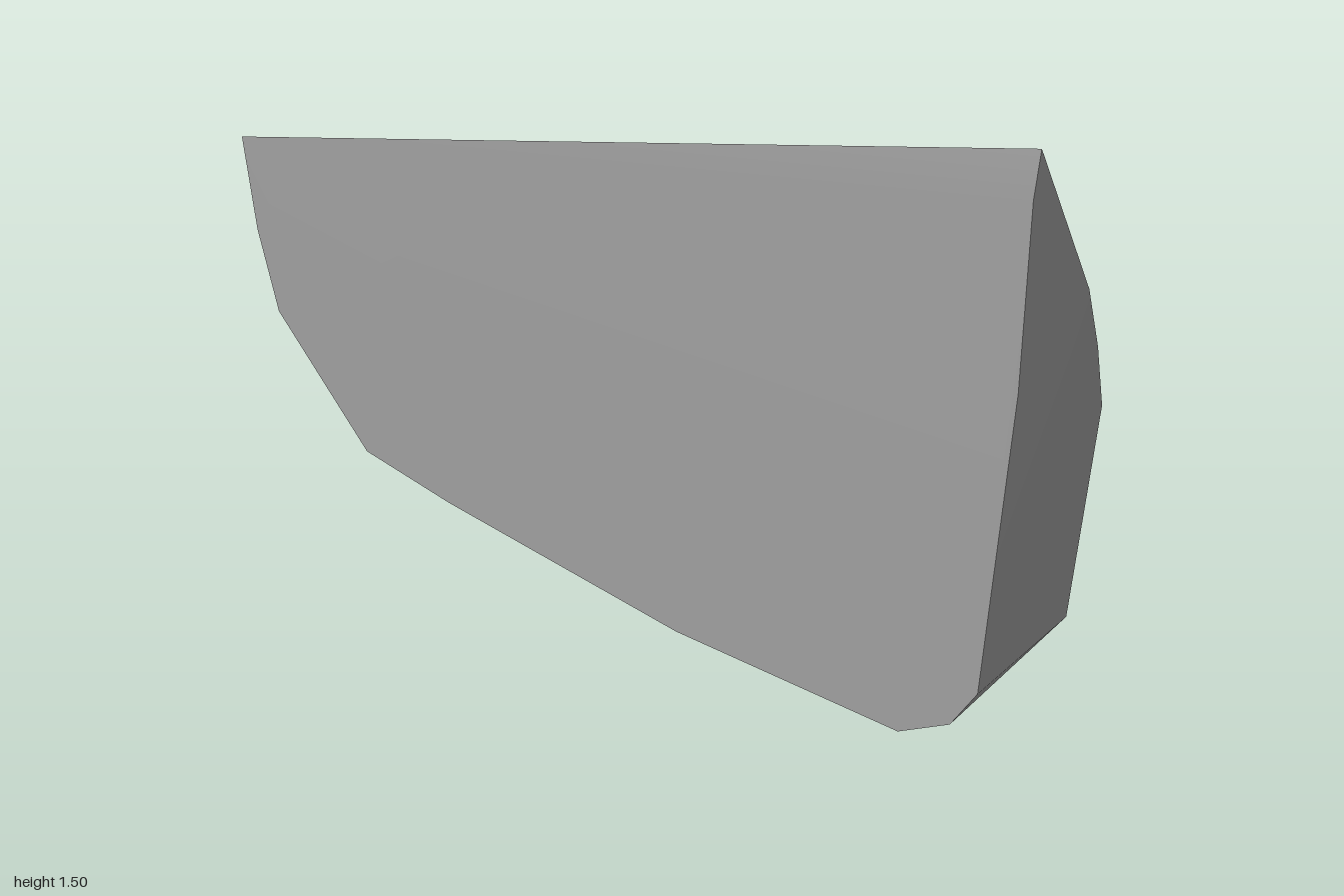
import * as THREE from 'three';
import { ConvexGeometry } from 'three/addons/geometries/ConvexGeometry.js';
import { toCreasedNormals } from 'three/addons/utils/BufferGeometryUtils.js';

export function createModel() {
  const group = new THREE.Group();
  group.name = 'rockShard';

  const stone = new THREE.MeshStandardMaterial({ color: 0xa0a0a0 });
  stone.name = 'grey stone';

  // Flat tall side, as [z, y] at x = -0.19
  const tallSide = [
    [0.995, 1.4], [0.985, 1.0], [0.93, 0.31], [0.87, 0.21], [0.75, 0.135],
    [0.2, 0.115], [-0.41, 0.16], [-0.64, 0.19], [-0.88, 0.44], [-0.93, 0.62], [-0.96, 0.83],
  ];
  // Flat short side, as [z, y] at x = 0.19
  const shortSide = [
    [0.92, 0.76], [0.87, 0.25], [0.82, 0.19], [0.4, 0.02], [-0.12, 0.03], [-0.7, 0.215],
  ];
  // Corners of the slanted face and of the worn underside, as [x, y, z]
  const corners = [
    [-0.18, 1.5, 1], [0.02, 1.12, 0.985], [0.1, 0.95, 0.96],
    [-0.12, 0.68, -1], [-0.05, 0.56, -0.94], [0.04, 0.41, -0.86], [0.13, 0.27, -0.76],
    [0.16, 0.17, -0.63],
    [0.08, 0.008, 0.05], [0.15, 0, 0], [0.15, 0.005, -0.1],
  ];

  const points = [
    ...tallSide.map(([z, y]) => new THREE.Vector3(-0.19, y, z)),
    ...shortSide.map(([z, y]) => new THREE.Vector3(0.19, y, z)),
    ...corners.map((c) => new THREE.Vector3(...c)),
  ];

  // Soft worn edges stay smooth, broken edges stay sharp
  const shard = new THREE.Mesh(toCreasedNormals(new ConvexGeometry(points), 0.4), stone);
  shard.name = 'shard';
  group.add(shard);
  return group;
}
